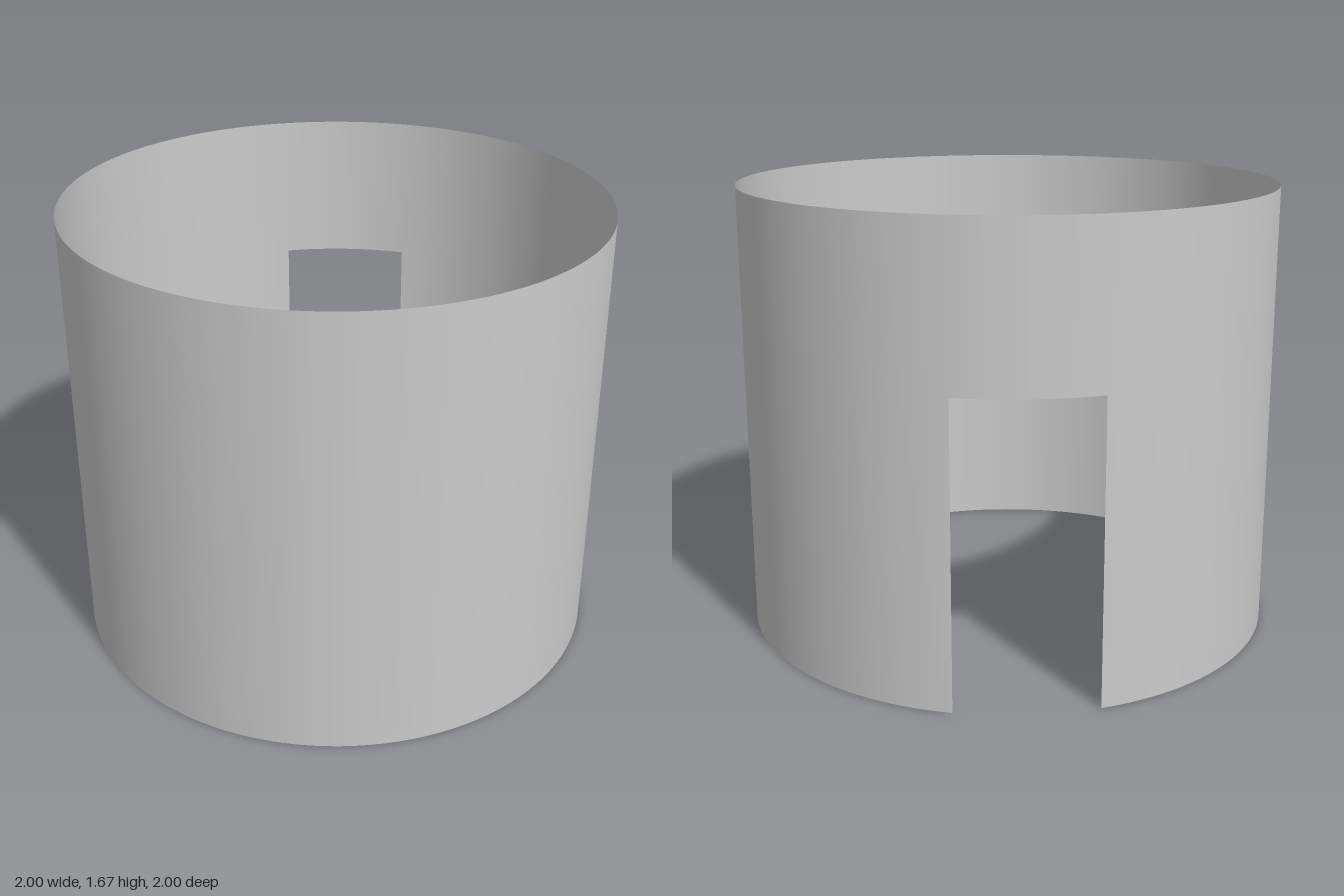
import * as THREE from 'three';

const HEIGHT = 1.67;
const DOOR_HEIGHT = 1.094;
// Doorway edges, as angles around y measured from +z towards +x
const DOOR_START = THREE.MathUtils.degToRad(169.1);
const DOOR_END = THREE.MathUtils.degToRad(198.2);

export function createModel() {
  const group = new THREE.Group();
  group.name = 'roundWall';
  const material = new THREE.MeshStandardMaterial({ color: 0xcccccc, side: THREE.DoubleSide });

  // A thin curved wall panel of radius 1 between two heights
  function addPanel(name, bottom, top, start, sweep, segments) {
    const geometry = new THREE.CylinderGeometry(1, 1, top - bottom, segments, 1, true, start, sweep);
    geometry.translate(0, (bottom + top) / 2, 0);
    const mesh = new THREE.Mesh(geometry, material);
    mesh.name = name;
    group.add(mesh);
  }

  const doorSweep = DOOR_END - DOOR_START;
  // Full-height wall running round from one side of the doorway to the other
  addPanel('wall', 0, HEIGHT, DOOR_END, Math.PI * 2 - doorSweep, 110);
  // Wall above the doorway at the back
  addPanel('doorLintel', DOOR_HEIGHT, HEIGHT, DOOR_START, doorSweep, 10);

  return group;
}
